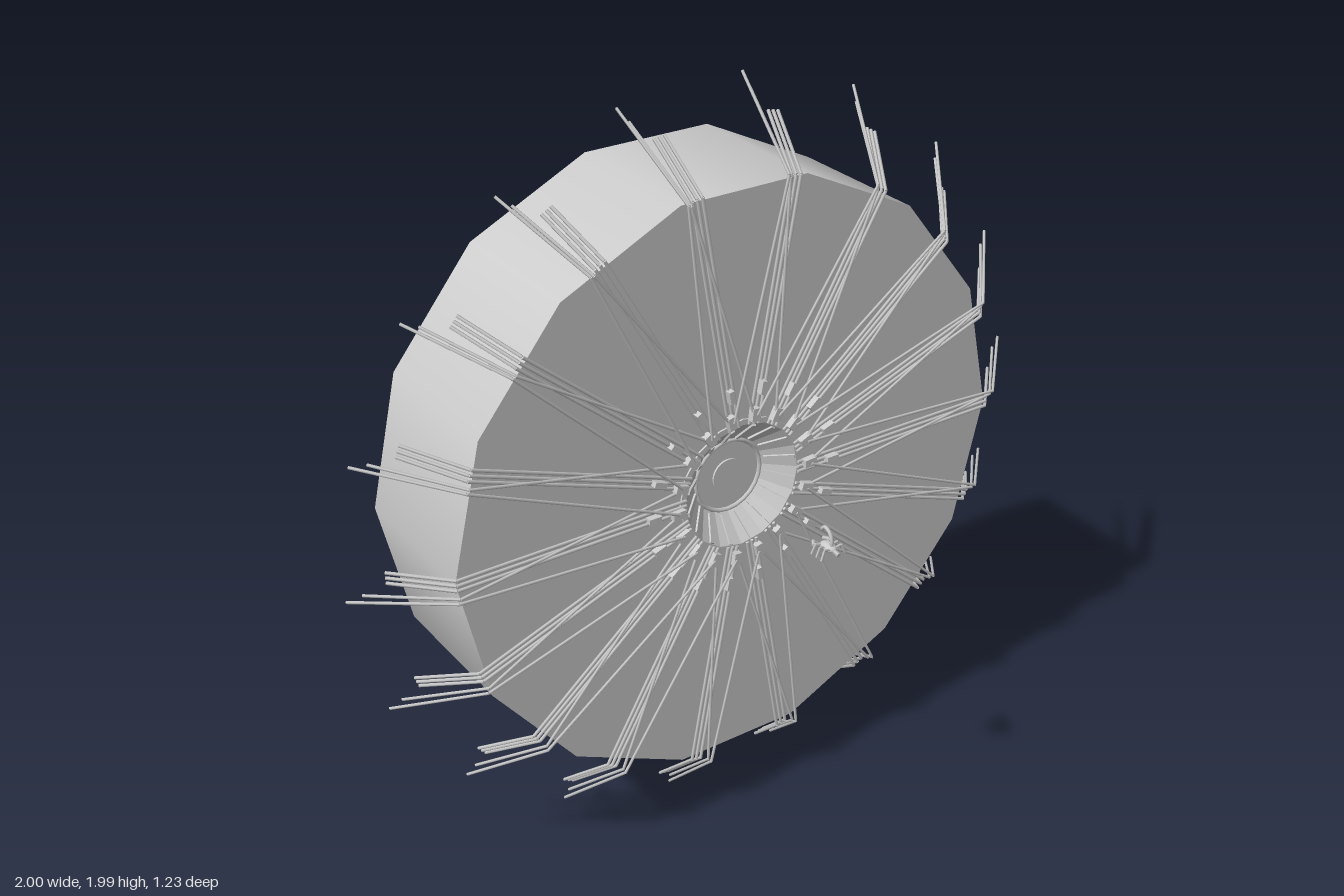
import * as THREE from 'three';

const grey = new THREE.MeshStandardMaterial({ color: 0xcccccc, side: THREE.DoubleSide });
const flat = new THREE.MeshStandardMaterial({ color: 0xcccccc, side: THREE.DoubleSide, flatShading: true });
const deg = Math.PI / 180;
const V = (x, y, z) => new THREE.Vector3(x, y, z);
const polar = (r, a, z) => V(r * Math.cos(a * deg), r * Math.sin(a * deg), z);

function add(parent, name, geometry, material = grey) {
  const mesh = new THREE.Mesh(geometry, material);
  mesh.name = name;
  parent.add(mesh);
  return mesh;
}

// cylinder whose axis runs along z from z0 to z1
function zCylinder(r, z0, z1, sides, open = false) {
  const g = new THREE.CylinderGeometry(r, r, z1 - z0, sides, 1, open, Math.PI / 2);
  g.rotateX(Math.PI / 2);
  return g.translate(0, 0, (z0 + z1) / 2);
}

// thin straight bars joining a list of points
function rod(parent, name, points, radius) {
  for (let i = 0; i + 1 < points.length; i++) {
    const dir = points[i + 1].clone().sub(points[i]);
    const g = new THREE.CylinderGeometry(radius, radius, dir.length(), 5);
    const bar = add(parent, name, g);
    bar.position.copy(points[i]).addScaledVector(dir, 0.5);
    bar.quaternion.setFromUnitVectors(V(0, 1, 0), dir.normalize());
  }
}

function buildDrum(root) {
  add(root, 'drumWall', zCylinder(0.8, -0.19, 0.22, 14, true));
  // front plate with the hub opening
  const plate = new THREE.Shape();
  for (let i = 0; i < 14; i++) {
    const p = polar(0.8, i * 360 / 14, 0);
    i ? plate.lineTo(p.x, p.y) : plate.moveTo(p.x, p.y);
  }
  const hole = new THREE.Path();
  hole.absarc(0, 0, 0.18, 0, Math.PI * 2, true);
  plate.holes.push(hole);
  add(root, 'frontPlate', new THREE.ShapeGeometry(plate, 16)).position.z = 0.22;
  add(root, 'axle', zCylinder(0.045, -0.62, 0.165, 24));
}

function buildHub(root) {
  const hub = new THREE.Group();
  hub.name = 'hub';
  root.add(hub);
  // tapering cup with a recessed floor, open to the front
  const profile = [[0, 0.16], [0.1, 0.16], [0.1, 0.1], [0.135, 0.1], [0.145, 0.115], [0.185, 0.19], [0.185, 0.225], [0.17, 0.225], [0.1, 0.16]]
    .map(([r, z]) => new THREE.Vector2(r, z));
  add(hub, 'hubCup', new THREE.LatheGeometry(profile, 16).rotateX(Math.PI / 2), flat);
  add(hub, 'floorRing', new THREE.TorusGeometry(0.098, 0.006, 6, 24).translate(0, 0, 0.162));
  for (let i = 0; i < 16; i++) {
    const spoke = new THREE.Group();
    spoke.name = 'hubSegment';
    spoke.rotation.z = (i + 0.5) * Math.PI / 8;
    hub.add(spoke);
    // outer cladding panel with bolts
    const panel = add(spoke, 'hubPanel', new THREE.BoxGeometry(0.008, 0.048, 0.062), flat);
    panel.position.set(0.164, 0, 0.152);
    panel.rotation.y = 28 * deg;
    for (const s of [-1, 1]) {
      const bolt = add(spoke, 'panelBolt', new THREE.BoxGeometry(0.01, 0.008, 0.008), flat);
      bolt.position.set(0.17, s * 0.015, 0.16);
    }
    // inner rib
    const rib = add(spoke, 'hubRib', new THREE.BoxGeometry(0.08, 0.012, 0.012), flat);
    rib.position.set(0.137, 0, 0.196);
    rib.rotation.y = -43 * deg;
  }
}

function buildSpokes(root) {
  for (let i = 0; i < 18; i++) {
    const set = new THREE.Group();
    set.name = 'spokeSet';
    set.rotation.z = i * 20 * deg;
    root.add(set);
    // three parallel bars, bent back over the rim
    for (const s of [-1, 0, 1]) {
      const y = s * 0.014;
      rod(set, 'mainSpoke', [V(0.17, y, 0.228), V(0.8, y, 0.228), V(0.918, y, 0.105)], 0.0045);
    }
    // slanted long wires in front of them
    rod(set, 'longWire', [polar(0.2, 22, 0.245), polar(0.807, 2.6, 0.247), polar(1, 3.8, 0.052)], 0.004);
    rod(set, 'innerWire', [polar(0.2, -16, 0.24), polar(0.8, 2, 0.243), polar(0.965, 3, 0.07)], 0.004);
    // wire clips beside the hub
    for (const [r, a] of [[0.2, 22], [0.2, -16], [0.27, 0]]) {
      const clip = add(set, 'wireClip', new THREE.BoxGeometry(0.035, 0.014, 0.018), flat);
      clip.position.copy(polar(r, a, 0.237));
      clip.rotation.z = a * deg;
    }
  }
}

// tiny legged craft floating ahead of the hub
function buildCraft(root) {
  const craft = new THREE.Group();
  craft.name = 'smallCraft';
  craft.position.set(0, 0, 0.57);
  root.add(craft);
  const body = add(craft, 'craftBody', new THREE.SphereGeometry(0.018, 10, 6));
  body.scale.set(0.9, 0.6, 1.5);
  const tail = new THREE.CatmullRomCurve3([V(0, 0, 0.01), V(0, 0.02, 0.012), V(0, 0.04, 0.002), V(0, 0.046, -0.016), V(0, 0.036, -0.026)]);
  add(craft, 'craftTail', new THREE.TubeGeometry(tail, 12, 0.005, 6));
  rod(craft, 'craftNose', [V(0, 0, 0.01), V(0, -0.004, 0.04)], 0.006);
  for (const s of [-1, 1]) {
    for (let k = -1; k <= 1; k++)
      rod(craft, 'craftLeg', [V(0, 0, k * 0.014), V(s * 0.025, 0.006, k * 0.017), V(s * 0.035, -0.018, k * 0.019)], 0.003);
    rod(craft, 'craftClaw', [V(0, 0, -0.012), V(s * 0.025, 0, -0.024), V(s * 0.014, 0, -0.04)], 0.005);
  }
}

export function createModel() {
  const model = new THREE.Group();
  model.name = 'spokedDrum';
  const root = new THREE.Group();
  root.name = 'assembly';
  root.position.y = 1;
  model.add(root);
  buildDrum(root);
  buildHub(root);
  buildSpokes(root);
  buildCraft(root);
  return model;
}
